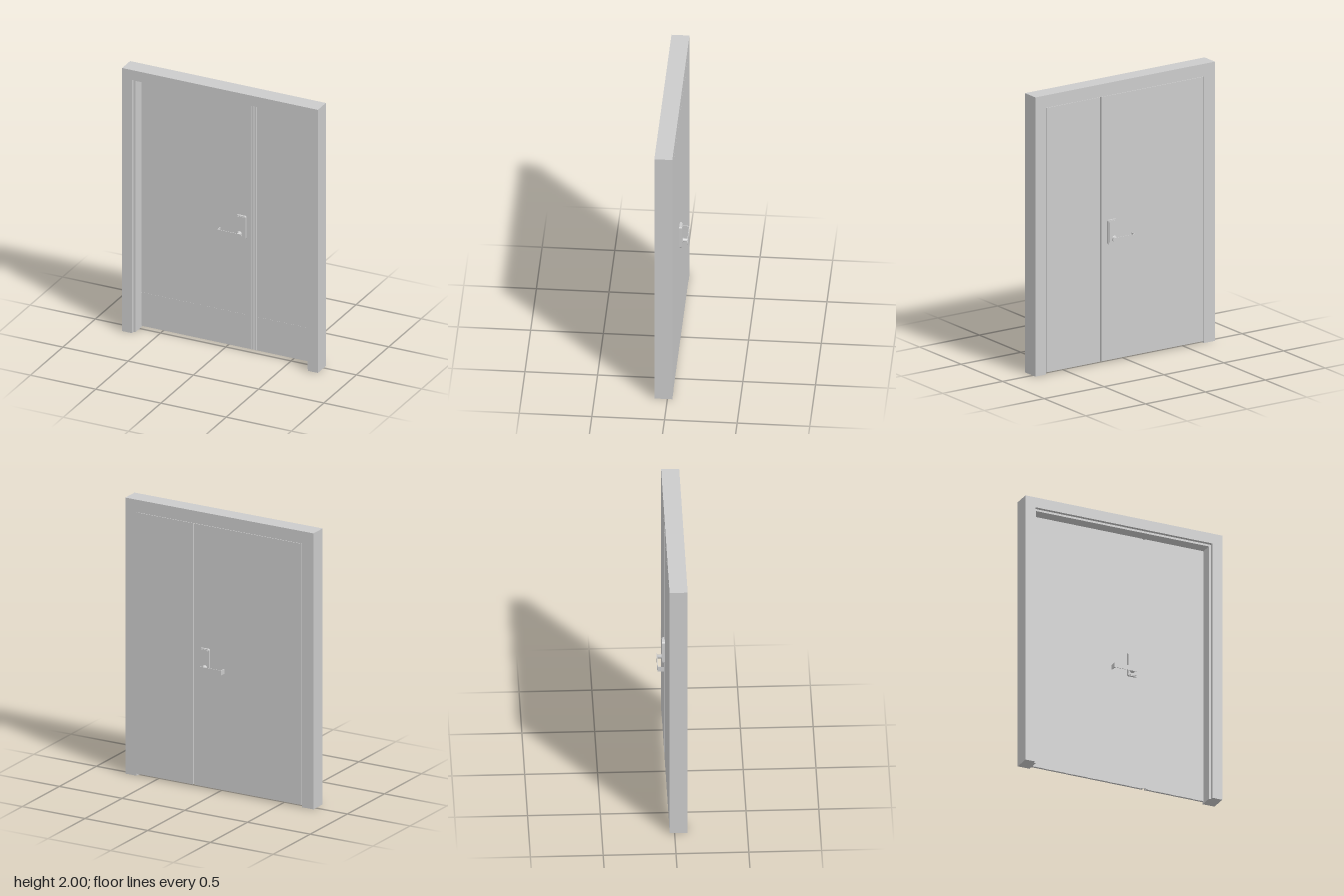
import * as THREE from 'three';

const material = new THREE.MeshStandardMaterial({ color: 0xcccccc, side: THREE.DoubleSide });
const BACK = -0.034, FRONT = 0.09;      // frame depth
const DOOR_FRONT = -0.018;              // inner face of the thin leaves

function add(parent, name, geometry) {
  const mesh = new THREE.Mesh(geometry, material);
  mesh.name = name;
  parent.add(mesh);
  return mesh;
}

// Box given by its limits on each axis
function box(parent, name, x0, x1, y0, y1, z0, z1) {
  const mesh = add(parent, name, new THREE.BoxGeometry(x1 - x0, y1 - y0, z1 - z0));
  mesh.position.set((x0 + x1) / 2, (y0 + y1) / 2, (z0 + z1) / 2);
  return mesh;
}

function extrude(shape, z0, z1) {
  return new THREE.ExtrudeGeometry(shape, { depth: z1 - z0, bevelEnabled: false, curveSegments: 8 }).translate(0, 0, z0);
}

// Upside-down U: two jambs and a head around an opening
function frameShape(halfOpening, openingTop) {
  return new THREE.Shape([
    [-0.75, 0], [-halfOpening, 0], [-halfOpening, openingTop], [halfOpening, openingTop],
    [halfOpening, 0], [0.75, 0], [0.75, 2], [-0.75, 2],
  ].map(([x, y]) => new THREE.Vector2(x, y)));
}

function roundedRect(x0, x1, y0, y1, r) {
  const s = new THREE.Shape();
  s.moveTo(x0 + r, y0);
  s.lineTo(x1 - r, y0);
  s.absarc(x1 - r, y0 + r, r, -Math.PI / 2, 0);
  s.absarc(x1 - r, y1 - r, r, 0, Math.PI / 2);
  s.absarc(x0 + r, y1 - r, r, Math.PI / 2, Math.PI);
  s.absarc(x0 + r, y0 + r, r, Math.PI, Math.PI * 1.5);
  return s;
}

// Lever set, built on z = 0 and projecting toward +z
function leverSet(name) {
  const set = new THREE.Group();
  set.name = name;
  add(set, 'backPlate', extrude(roundedRect(0.075, 0.15, 0.845, 1.02, 0.012), 0, 0.016));
  add(set, 'raisedPlate', extrude(roundedRect(0.081, 0.144, 0.851, 1.014, 0.01), 0.016, 0.02));

  // Collar and spindle
  const profile = [[0, 0.018], [0.02, 0.018], [0.02, 0.023], [0.013, 0.025], [0.013, 0.055], [0, 0.055]];
  const spindle = add(set, 'spindle', new THREE.LatheGeometry(
    profile.map(([r, y]) => new THREE.Vector2(r, y)), 20).rotateX(Math.PI / 2));
  spindle.position.set(0.105, 0.885, 0);

  // Flat lever, rounded over the spindle end
  const lever = new THREE.Shape();
  lever.moveTo(-0.047, 0.865);
  lever.lineTo(0.122, 0.865);
  lever.absarc(0.122, 0.8825, 0.0175, -Math.PI / 2, Math.PI / 2);
  lever.lineTo(-0.047, 0.9);
  add(set, 'lever', extrude(lever, 0.053, 0.057));

  // Tapered return at the free end, pointing back to the door
  const tab = new THREE.Shape([[-0.047, -0.055], [-0.047, -0.012], [-0.044, -0.012], [-0.039, -0.055]]
    .map(([x, y]) => new THREE.Vector2(x, y)));
  const returnTab = add(set, 'leverReturn', extrude(tab, 0, 0.035).rotateX(-Math.PI / 2));
  // profile y maps to -z, extrusion depth maps to +y
  returnTab.position.y = 0.865;
  return set;
}

export function createModel() {
  const model = new THREE.Group();
  model.name = 'doubleDoor';

  // Rebated frame: wider opening at the front, stop behind it
  const frame = new THREE.Group();
  frame.name = 'frame';
  add(frame, 'frontFrame', extrude(frameShape(0.675, 1.925), 0.065, FRONT));
  add(frame, 'rearFrame', extrude(frameShape(0.66, 1.91), BACK, 0.065));
  model.add(frame);

  // Wide active leaf and narrow fixed leaf, with thin gaps around
  box(model, 'wideLeaf', -0.655, 0.198, 0.015, 1.908, BACK, DOOR_FRONT);
  box(model, 'narrowLeaf', 0.212, 0.659, 0.015, 1.908, BACK, DOOR_FRONT);

  // Kick plates on the inner side
  box(model, 'wideKickPlate', -0.655, 0.165, 0.016, 0.27, DOOR_FRONT, DOOR_FRONT + 0.001);
  box(model, 'narrowKickPlate', 0.23, 0.659, 0.016, 0.27, DOOR_FRONT, DOOR_FRONT + 0.001);

  // Ribbed strip covering the meeting gap
  const strip = new THREE.Group();
  strip.name = 'meetingStrip';
  box(strip, 'stripBase', 0.186, 0.229, 0.018, 1.9, DOOR_FRONT, DOOR_FRONT + 0.004);
  for (let i = 0; i < 4; i++) {
    const x = 0.187 + i * 0.0115;
    box(strip, 'stripRib', x, x + 0.006, 0.018, 1.9, DOOR_FRONT + 0.004, DOOR_FRONT + 0.008);
  }
  model.add(strip);

  // Matching lever sets on both sides of the wide leaf
  const inner = leverSet('frontLeverSet');
  inner.position.z = DOOR_FRONT;
  const outer = leverSet('backLeverSet');
  outer.scale.z = -1;
  outer.position.z = BACK;
  model.add(inner, outer);

  return model;
}
